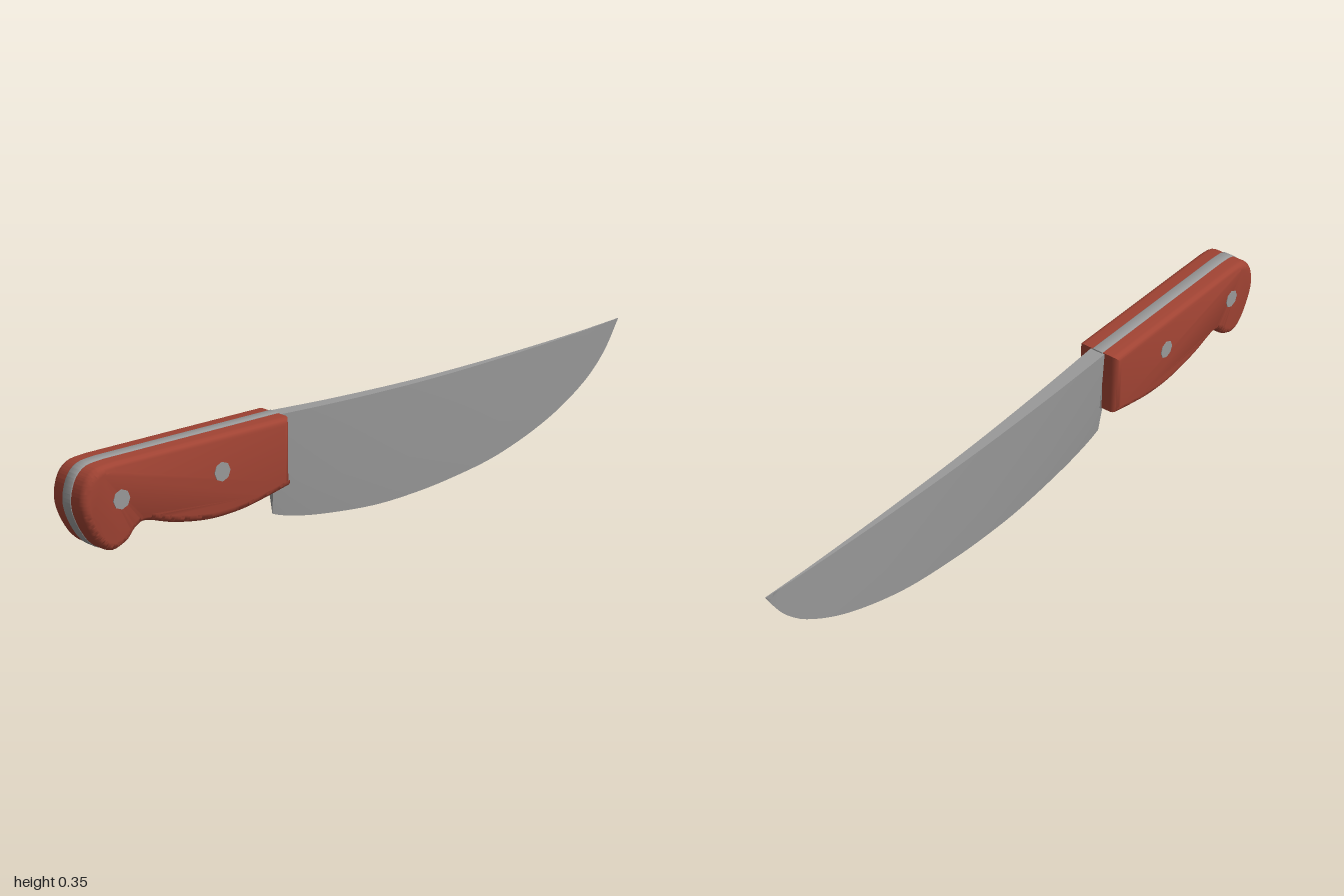
import * as THREE from 'three';
import { mergeVertices, toCreasedNormals } from 'three/addons/utils/BufferGeometryUtils.js';

const v2 = (p) => new THREE.Vector2(p[0], p[1]);

// Merge shared corners, then smooth everything below the crease angle
function smooth(geometry, angle) {
  geometry.deleteAttribute('normal');
  geometry.deleteAttribute('uv');
  return toCreasedNormals(mergeVertices(geometry, 1e-5), angle);
}

// Side outline of the grip: straight top, rounded butt, hooked pommel, belly
function gripShape() {
  const shape = new THREE.Shape();
  shape.moveTo(-0.333, 0.342);
  shape.lineTo(-0.9, 0.342);
  shape.splineThru([
    [-0.955, 0.335], [-0.987, 0.305], [-1, 0.25], [-0.985, 0.195], [-0.95, 0.14],
    [-0.91, 0.117], [-0.865, 0.131], [-0.835, 0.16], [-0.8, 0.169],
    [-0.71, 0.142], [-0.6, 0.124], [-0.5, 0.125], [-0.42, 0.137], [-0.333, 0.155],
  ].map(v2));
  shape.closePath();
  return shape;
}

// Extrude the grip outline evenly about z = 0
function gripSolid(halfWidth, bevel, offset) {
  const depth = 2 * (halfWidth - bevel);
  const g = new THREE.ExtrudeGeometry(gripShape(), {
    depth, curveSegments: 40, bevelEnabled: true, bevelSegments: 4,
    bevelThickness: bevel, bevelSize: bevel, bevelOffset: offset,
  });
  g.translate(0, 0, -depth / 2);
  return smooth(g, 0.8);
}

// Blade lofted from wedge sections between the cutting edge and the spine
function bladeGeometry() {
  const edge = new THREE.SplineCurve([
    [-0.342, 0.065], [-0.29, 0.048], [-0.18, 0.026], [0, 0.006], [0.14, 0.004], [0.3, 0.014],
    [0.5, 0.043], [0.7, 0.105], [0.85, 0.183], [0.94, 0.262], [1, 0.354],
  ].map(v2));
  const spine = new THREE.SplineCurve([
    [-0.358, 0.341], [-0.1, 0.33], [0.2, 0.325], [0.5, 0.33], [0.8, 0.342], [1, 0.355],
  ].map(v2));
  const section = [[0, 0], [0.35, 0.52], [1, 1], [1, -1], [0.35, -0.52]];
  const steps = 48, n = section.length;
  const positions = [], index = [];
  for (let i = 0; i <= steps; i++) {
    const e = edge.getPointAt(i / steps), s = spine.getPointAt(i / steps);
    for (const [v, w] of section) {
      const x = e.x + (s.x - e.x) * v;
      const half = 0.001 + 0.0225 * (1 - x) / 1.35;
      positions.push(x, e.y + (s.y - e.y) * v, w * half);
    }
  }
  for (let i = 0; i < steps; i++) {
    for (let k = 0; k < n; k++) {
      const a = i * n + k, b = i * n + (k + 1) % n;
      index.push(a, a + n, b + n, a, b + n, b);
    }
  }
  // Heel cap
  for (let k = 1; k < n - 1; k++) index.push(0, k, k + 1);
  const g = new THREE.BufferGeometry();
  g.setAttribute('position', new THREE.Float32BufferAttribute(positions, 3));
  g.setIndex(index);
  return toCreasedNormals(g, 0.6);
}

export function createModel() {
  const model = new THREE.Group();
  model.name = 'knife';
  const steel = new THREE.MeshStandardMaterial({ color: 0x999999 });
  steel.name = 'steel';
  const redWood = new THREE.MeshStandardMaterial({ color: 0xa04333 });
  redWood.name = 'redWood';

  const add = (name, geometry, material) => {
    const mesh = new THREE.Mesh(geometry, material);
    mesh.name = name;
    model.add(mesh);
    return mesh;
  };

  add('blade', bladeGeometry(), steel);
  add('handle', gripSolid(0.067, 0.02, -0.02), redWood);
  // Steel tang showing as a thin band around the handle's rim
  add('tang', gripSolid(0.017, 0.002, 0), steel);

  // Two rivets running right through the handle
  [-0.885, -0.565].forEach((x, i) => {
    const g = new THREE.CylinderGeometry(0.026, 0.026, 0.138, 8);
    g.rotateX(Math.PI / 2);
    add(i ? 'frontRivet' : 'rearRivet', g, steel).position.set(x, 0.247, 0);
  });
  return model;
}
